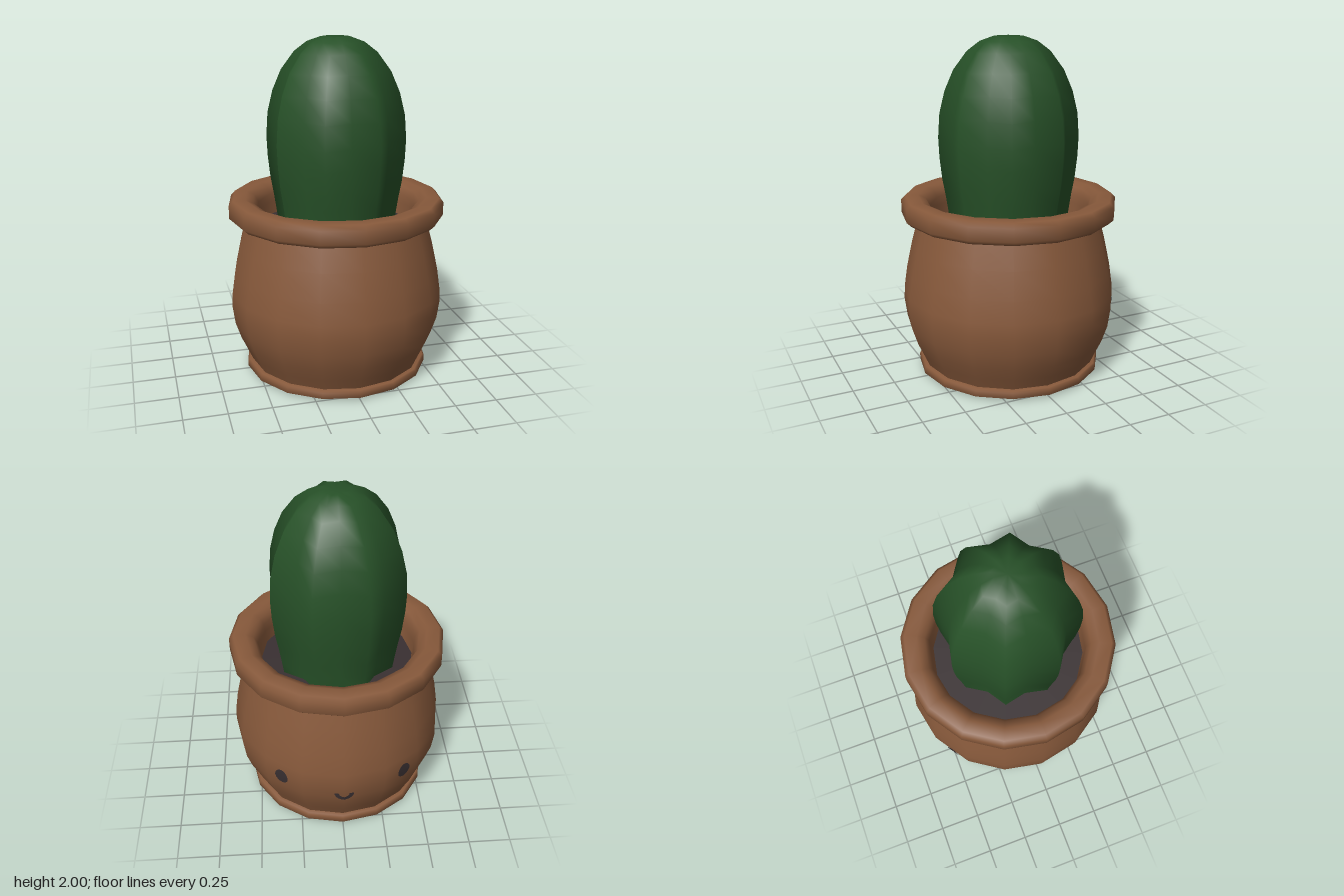
import * as THREE from 'three';
import { mergeVertices } from 'three/addons/utils/BufferGeometryUtils.js';

const SIDES = 16;
const STEP = (Math.PI * 2) / SIDES;

const terracotta = new THREE.MeshStandardMaterial({ color: 0x87593b });
terracotta.name = 'terracotta';
const cactusGreen = new THREE.MeshStandardMaterial({ color: 0x275128 });
cactusGreen.name = 'cactusGreen';
const darkSoil = new THREE.MeshStandardMaterial({ color: 0x393032 });
darkSoil.name = 'darkSoil';

const points = (list) => list.map(([r, y]) => new THREE.Vector2(r, y));

// Bulging wall of the pot, as radius and height
const wall = [
  [0.525, 0.062], [0.555, 0.13], [0.592, 0.21], [0.625, 0.31], [0.64, 0.42],
  [0.637, 0.5], [0.618, 0.63], [0.583, 0.79], [0.54, 0.95],
];

function part(name, geometry, material) {
  const mesh = new THREE.Mesh(geometry, material);
  mesh.name = name;
  return mesh;
}

const lathe = (list) => new THREE.LatheGeometry(points(list), SIDES);

// Distance from the axis to the faceted wall at a given angle and height
function wallRadius(angle, y) {
  let i = 0;
  while (i < wall.length - 2 && wall[i + 1][1] < y) i++;
  const [r0, y0] = wall[i];
  const [r1, y1] = wall[i + 1];
  const r = r0 + ((r1 - r0) * (y - y0)) / (y1 - y0);
  const offset = angle - (Math.floor(angle / STEP) + 0.5) * STEP;
  return (r * Math.cos(STEP / 2)) / Math.cos(offset);
}

// Lays a flat shape onto the back of the pot, just above the wall
function wrapOnPot(geometry, centreAngle, centreY) {
  const pos = geometry.attributes.position;
  for (let i = 0; i < pos.count; i++) {
    const angle = centreAngle - pos.getX(i) / 0.63;
    const y = centreY + pos.getY(i);
    const r = wallRadius(angle, y) + 0.006;
    pos.setXYZ(i, Math.sin(angle) * r, y, -Math.cos(angle) * r);
  }
  geometry.computeVertexNormals();
  return geometry;
}

// Eight-ribbed column: every second vertex is drawn inwards
function cactusGeometry() {
  const g = lathe([
    [0.345, 0.86], [0.36, 0.97], [0.375, 1.07], [0.393, 1.17], [0.407, 1.3],
    [0.412, 1.42], [0.402, 1.56], [0.37, 1.69], [0.318, 1.81], [0.24, 1.915],
    [0.165, 1.972], [0.085, 2.0], [0, 1.985],
  ]);
  const pos = g.attributes.position;
  const rows = 13;
  for (let i = 0; i < pos.count; i++) {
    const column = Math.floor(i / rows);
    const s = column % 2 === 0 ? 0.84 : 1;
    pos.setXYZ(i, pos.getX(i) * s, pos.getY(i), pos.getZ(i) * s);
  }
  g.deleteAttribute('normal');
  g.deleteAttribute('uv');
  const merged = mergeVertices(g, 1e-4);
  merged.computeVertexNormals();
  return merged;
}

export function createModel() {
  const model = new THREE.Group();
  model.name = 'pottedCactus';

  // Pot
  const pot = new THREE.Group();
  pot.name = 'pot';
  pot.add(part('potBody', lathe(wall), terracotta));
  pot.add(part('potFoot', lathe([
    [0, 0], [0.1, 0.001], [0.54, 0.01], [0.556, 0.018], [0.556, 0.052], [0.545, 0.06], [0.52, 0.064],
  ]), terracotta));
  pot.add(part('potRim', lathe([
    [0.53, 0.946], [0.612, 0.946], [0.64, 0.972], [0.64, 1.048], [0.615, 1.074],
    [0.54, 1.075], [0.495, 1.055], [0.472, 1.01], [0.468, 0.96], [0.455, 0.87],
  ]), terracotta));
  model.add(pot);

  // Soil disc
  const soil = part('soil', new THREE.CircleGeometry(0.459, SIDES), darkSoil);
  soil.rotation.x = -Math.PI / 2;
  soil.position.y = 0.885;
  model.add(soil);

  // Cactus
  model.add(part('cactus', cactusGeometry(), cactusGreen));

  // Face on the back of the pot
  const face = new THREE.Group();
  face.name = 'face';
  for (const [name, side] of [['leftEye', 1], ['rightEye', -1]]) {
    const eye = new THREE.CircleGeometry(0.055, 12).scale(0.8, 1, 1);
    face.add(part(name, wrapOnPot(eye, side * 0.615, 0.405), darkSoil));
  }
  const smile = new THREE.RingGeometry(0.031, 0.059, 10, 1, Math.PI, Math.PI);
  face.add(part('mouth', wrapOnPot(smile, 0, 0.355), darkSoil));
  model.add(face);

  return model;
}
